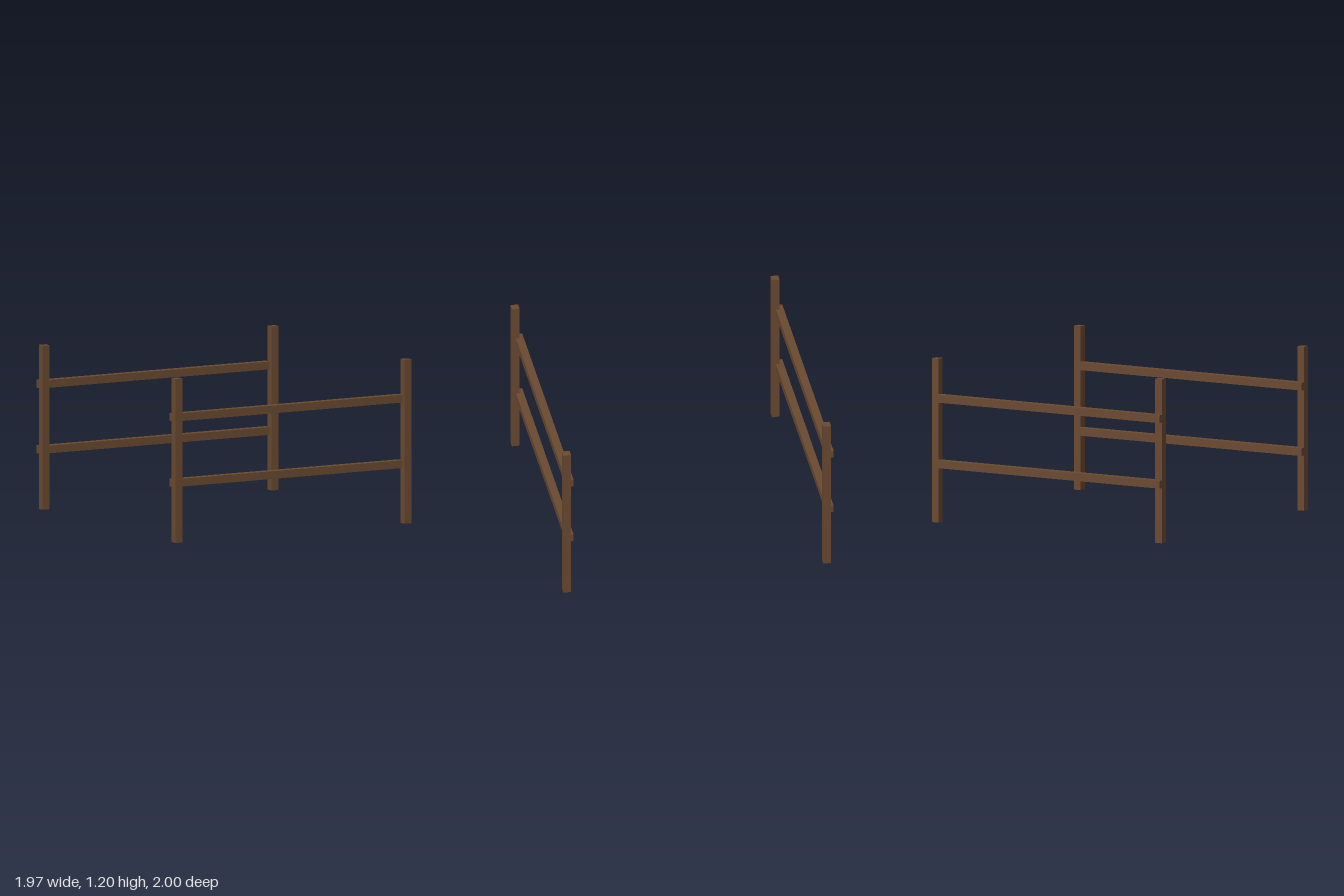
import * as THREE from 'three';

const THICK = 0.057;   // square section shared by posts and rails
const HEIGHT = 1.196;
const OUTER = 0.983;   // outer x of the posts

export function createModel() {
  const model = new THREE.Group();
  model.name = 'fencePair';

  const wood = new THREE.MeshStandardMaterial({ color: 0x6b4a30 });
  wood.name = 'brownWood';

  const postGeometry = new THREE.BoxGeometry(THICK, HEIGHT, THICK);
  // Rails start flush with the right post and stop at the left post's inner face
  const railLength = 2 * OUTER - THICK;
  const railGeometry = new THREE.BoxGeometry(railLength, THICK, THICK);

  const addMesh = (parent, name, geometry, x, y, z) => {
    const mesh = new THREE.Mesh(geometry, wood);
    mesh.name = name;
    mesh.position.set(x, y, z);
    parent.add(mesh);
  };

  // One fence: two posts with two rails fixed behind them
  const addFence = (name, postZ) => {
    const fence = new THREE.Group();
    fence.name = name;
    fence.position.z = postZ;
    const postX = OUTER - THICK / 2;
    addMesh(fence, 'leftPost', postGeometry, postX, HEIGHT / 2, 0);
    addMesh(fence, 'rightPost', postGeometry, -postX, HEIGHT / 2, 0);
    addMesh(fence, 'lowerRail', railGeometry, -THICK / 2, 0.431, -0.03);
    addMesh(fence, 'upperRail', railGeometry, -THICK / 2, 0.909, -0.03);
    model.add(fence);
  };

  addFence('frontFence', 0.9715);
  addFence('backFence', -0.9415);

  return model;
}
